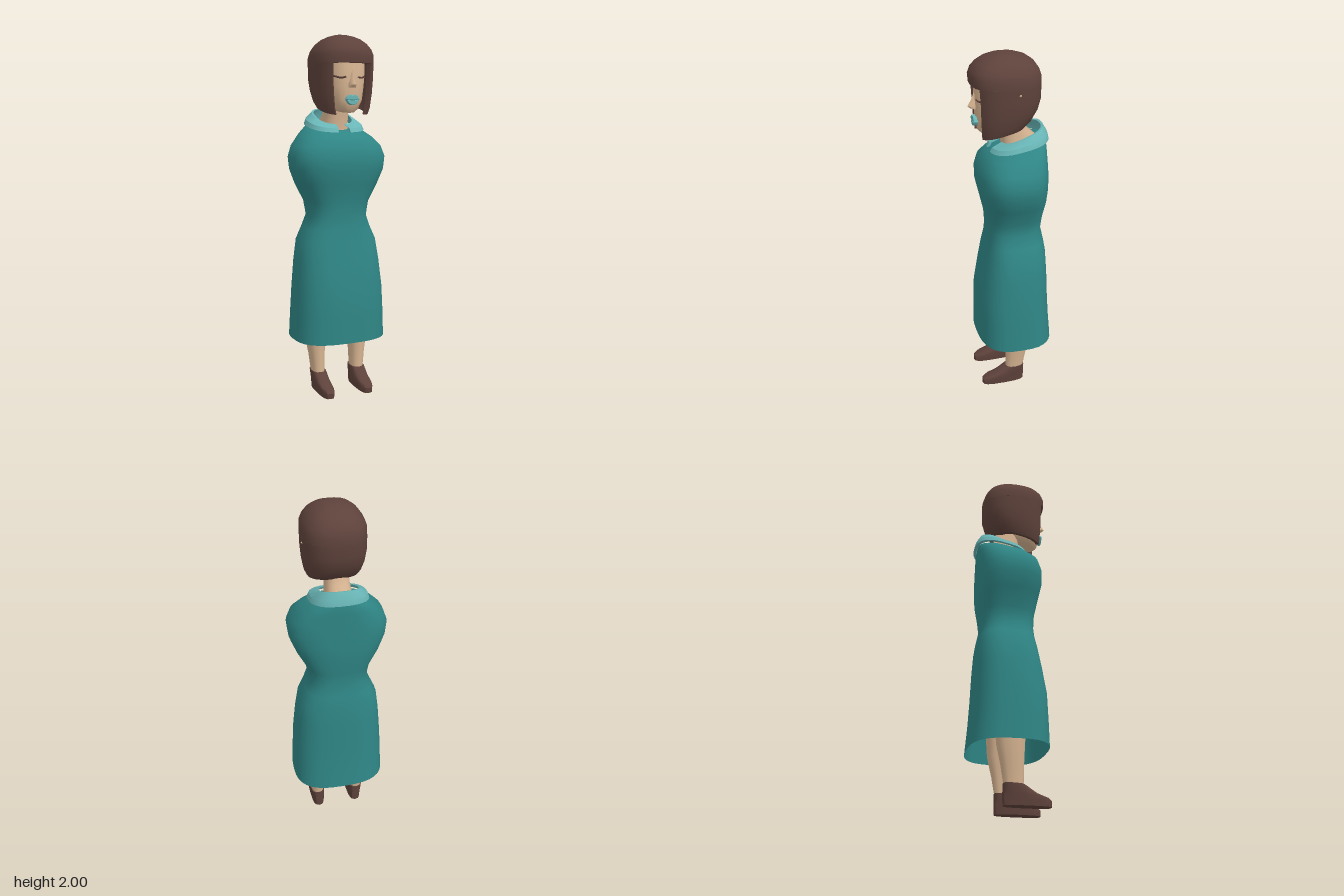
import * as THREE from 'three';
import { toCreasedNormals } from 'three/addons/utils/BufferGeometryUtils.js';

const mat = (name, color, side = THREE.FrontSide) => {
  const m = new THREE.MeshStandardMaterial({ color, side });
  m.name = name;
  return m;
};

// One cross-section: [yBack, yFront, halfWidth, zFront, zBack, centreX], a squared ellipse
// of power p. With a gap it becomes a C-shaped band, open at the front.
function ring([yB, yF, hw, zF, zB, cx = 0], { p = 2.5, n = 24, gap = 0, thick = 0.88 }) {
  const cz = (zF + zB) / 2, h = (zF - zB) / 2;
  const pow = (v) => Math.sign(v) * Math.abs(v) ** (2 / p);
  const point = (t, k) => {
    const z = pow(Math.cos(t)) * k;
    return [cx + hw * pow(Math.sin(t)) * k, yB + ((yF - yB) * (z + 1)) / 2, cz + h * z];
  };
  const outer = [], inner = [];
  for (let i = 0; i < n; i++) {
    const t = gap ? gap + ((2 * Math.PI - 2 * gap) * i) / (n - 1) : (2 * Math.PI * i) / n;
    outer.push(point(t, 1));
    if (gap) inner.unshift(point(t, thick));
  }
  return outer.concat(inner);
}

// Skins cross-sections from bottom to top and closes the ends.
function loft(sections, options = {}) {
  const { bottom = true, top = true, crease = 0.8 } = options;
  const rings = sections.map((s) => ring(s, options));
  const n = rings[0].length, pos = [];
  const quad = (a, b, c, d) => [a, b, c, a, c, d].forEach((v) => pos.push(...v));
  for (let r = 0; r < rings.length - 1; r++) {
    const a = rings[r], b = rings[r + 1];
    for (let i = 0; i < n; i++) {
      const j = (i + 1) % n;
      quad(a[i], a[j], b[j], b[i]);
    }
  }
  const lo = rings[0], hi = rings[rings.length - 1];
  for (let i = 0; i < n / 2 - 1; i++) {
    if (top) quad(hi[i], hi[i + 1], hi[n - 2 - i], hi[n - 1 - i]);
    if (bottom) quad(lo[n - 1 - i], lo[n - 2 - i], lo[i + 1], lo[i]);
  }
  const g = new THREE.BufferGeometry();
  g.setAttribute('position', new THREE.Float32BufferAttribute(pos, 3));
  return toCreasedNormals(g, crease);
}

export function createModel() {
  const model = new THREE.Group();
  const teal = mat('dress teal', 0x2f8585, THREE.DoubleSide);
  const aqua = mat('light aqua', 0x69b5b6, THREE.DoubleSide);
  const brown = mat('dark brown', 0x5e423b);
  const skin = mat('skin', 0xd9b693);
  const add = (parent, name, geometry, material) => {
    const m = new THREE.Mesh(geometry, material);
    m.name = name;
    parent.add(m);
    return m;
  };

  // Dress, open at the hem
  add(model, 'dress', loft([
    [0.305, 0.31, 0.266, 0.206, -0.226],
    [0.45, 0.45, 0.261, 0.203, -0.213],
    [0.6, 0.6, 0.253, 0.198, -0.204],
    [0.75, 0.75, 0.239, 0.174, -0.198],
    [0.87, 0.87, 0.222, 0.152, -0.19],
    [0.94, 0.94, 0.19, 0.14, -0.18],
    [1.01, 1.01, 0.163, 0.135, -0.165],
    [1.09, 1.09, 0.177, 0.139, -0.174],
    [1.19, 1.19, 0.23, 0.16, -0.187],
    [1.27, 1.27, 0.263, 0.178, -0.19],
    [1.34, 1.34, 0.271, 0.179, -0.19],
    [1.4, 1.4, 0.25, 0.163, -0.19],
    [1.47, 1.445, 0.2, 0.128, -0.19],
    [1.515, 1.47, 0.155, 0.095, -0.19],
    [1.54, 1.482, 0.11, 0.065, -0.185],
  ], { p: 2.8, n: 36, bottom: false, crease: 0.9 }), teal);

  // Collar, a tilted flaring band open at the front
  add(model, 'collar', loft([
    [1.535, 1.475, 0.16, 0.118, -0.206],
    [1.565, 1.497, 0.15, 0.105, -0.2],
    [1.605, 1.515, 0.112, 0.06, -0.178],
  ], { p: 2.6, n: 28, gap: 0.14, thick: 0.9, crease: 0.5 }), aqua);

  // Neck, leaning forward
  add(model, 'neck', loft([
    [1.46, 1.46, 0.085, 0.045, -0.165],
    [1.54, 1.5, 0.072, 0.045, -0.145],
    [1.59, 1.57, 0.066, 0.055, -0.09],
    [1.7, 1.7, 0.066, 0.07, -0.08],
  ]), skin);

  // Legs and shoes
  for (const s of [1, -1]) {
    const side = s > 0 ? 'left' : 'right';
    add(model, side + 'Leg', loft([
      [0.09, 0.09, 0.035, 0.055, -0.048, 0.12 * s],
      [0.2, 0.2, 0.042, 0.057, -0.066, 0.125 * s],
      [0.31, 0.31, 0.056, 0.062, -0.09, 0.13 * s],
      [0.6, 0.6, 0.075, 0.08, -0.11, 0.13 * s],
    ], { n: 12, p: 2.3 }), skin);
    add(model, side + 'Shoe', loft([
      [0, 0, 0.037, 0.2, -0.053, 0.117 * s],
      [0.03, 0.03, 0.04, 0.202, -0.055, 0.117 * s],
      [0.06, 0.045, 0.041, 0.185, -0.055, 0.118 * s],
      [0.08, 0.066, 0.041, 0.125, -0.054, 0.119 * s],
      [0.112, 0.108, 0.041, 0.06, -0.053, 0.12 * s],
    ], { n: 16, p: 3, crease: 0.7 }), brown);
  }

  // Head
  const head = new THREE.Group();
  head.name = 'head';
  head.position.x = 0.01;
  model.add(head);
  add(head, 'face', loft([
    [1.6, 1.582, 0.042, 0.158, 0],
    [1.615, 1.6, 0.066, 0.177, -0.03],
    [1.65, 1.65, 0.092, 0.185, -0.05],
    [1.72, 1.72, 0.106, 0.19, -0.1],
    [1.8, 1.8, 0.114, 0.19, -0.1],
    [1.9, 1.9, 0.114, 0.18, -0.1],
  ]), skin);
  add(head, 'nose', loft([
    [1.712, 1.718, 0.022, 0.214, 0.15],
    [1.73, 1.73, 0.021, 0.226, 0.15],
    [1.76, 1.76, 0.013, 0.208, 0.15],
    [1.805, 1.805, 0.009, 0.19, 0.15],
  ], { p: 1.8, n: 8 }), skin);

  // Lips: a bowed upper and a rounded lower one
  const lip = (name, draw) => {
    const shape = new THREE.Shape();
    draw(shape);
    const g = new THREE.ExtrudeGeometry(shape, {
      depth: 0.02, bevelEnabled: true, bevelSize: 0.003, bevelThickness: 0.006, bevelSegments: 2, curveSegments: 6,
    });
    add(head, name, g, aqua).position.set(0, 1.65, 0.177);
  };
  lip('upperLip', (s) => {
    s.moveTo(-0.036, 0.004);
    s.quadraticCurveTo(0, -0.002, 0.036, 0.004);
    s.quadraticCurveTo(0.024, 0.026, 0.012, 0.025);
    s.lineTo(0, 0.02);
    s.lineTo(-0.012, 0.025);
    s.quadraticCurveTo(-0.024, 0.026, -0.036, 0.004);
  });
  lip('lowerLip', (s) => {
    s.moveTo(-0.032, -0.002);
    s.bezierCurveTo(-0.018, -0.032, 0.018, -0.032, 0.032, -0.002);
    s.quadraticCurveTo(0, -0.008, -0.032, -0.002);
  });

  // Closed eyelids, lying on the curve of the face
  for (const s of [1, -1]) {
    const points = [0.034, 0.05, 0.065, 0.08, 0.094].map((x, i) => new THREE.Vector3(
      x * s,
      1.772 + [0, -0.004, -0.004, 0.001, 0.007][i],
      0.045 + 0.145 * (1 - (x / 0.112) ** 2.5) ** 0.4,
    ));
    const lid = new THREE.TubeGeometry(new THREE.CatmullRomCurve3(points), 10, 0.005, 6);
    add(head, s > 0 ? 'leftEyelid' : 'rightEyelid', lid, brown);
  }

  // Hair: a full crown with fringe, and a bob open around the face
  add(head, 'hairCrown', loft([
    [1.84, 1.845, 0.168, 0.213, -0.157],
    [1.88, 1.89, 0.167, 0.217, -0.157],
    [1.915, 1.92, 0.155, 0.207, -0.146],
    [1.95, 1.95, 0.131, 0.18, -0.122],
    [1.975, 1.975, 0.1, 0.143, -0.085],
    [1.99, 1.99, 0.068, 0.1, -0.04],
    [2, 2, 0.03, 0.06, 0],
  ], { p: 2.6, n: 28 }), brown);
  add(head, 'hairBob', loft([
    [1.625, 1.567, 0.133, 0.19, -0.078],
    [1.66, 1.6, 0.147, 0.196, -0.11],
    [1.71, 1.68, 0.16, 0.203, -0.139],
    [1.77, 1.76, 0.167, 0.207, -0.156],
    [1.842, 1.847, 0.168, 0.213, -0.157],
  ], { p: 2.6, n: 28, gap: 0.62, thick: 0.87 }), brown);

  // Tip of the ear showing through the hair
  add(head, 'earTip', new THREE.OctahedronGeometry(0.009), skin).position.set(0.164, 1.815, -0.012);

  return model;
}
